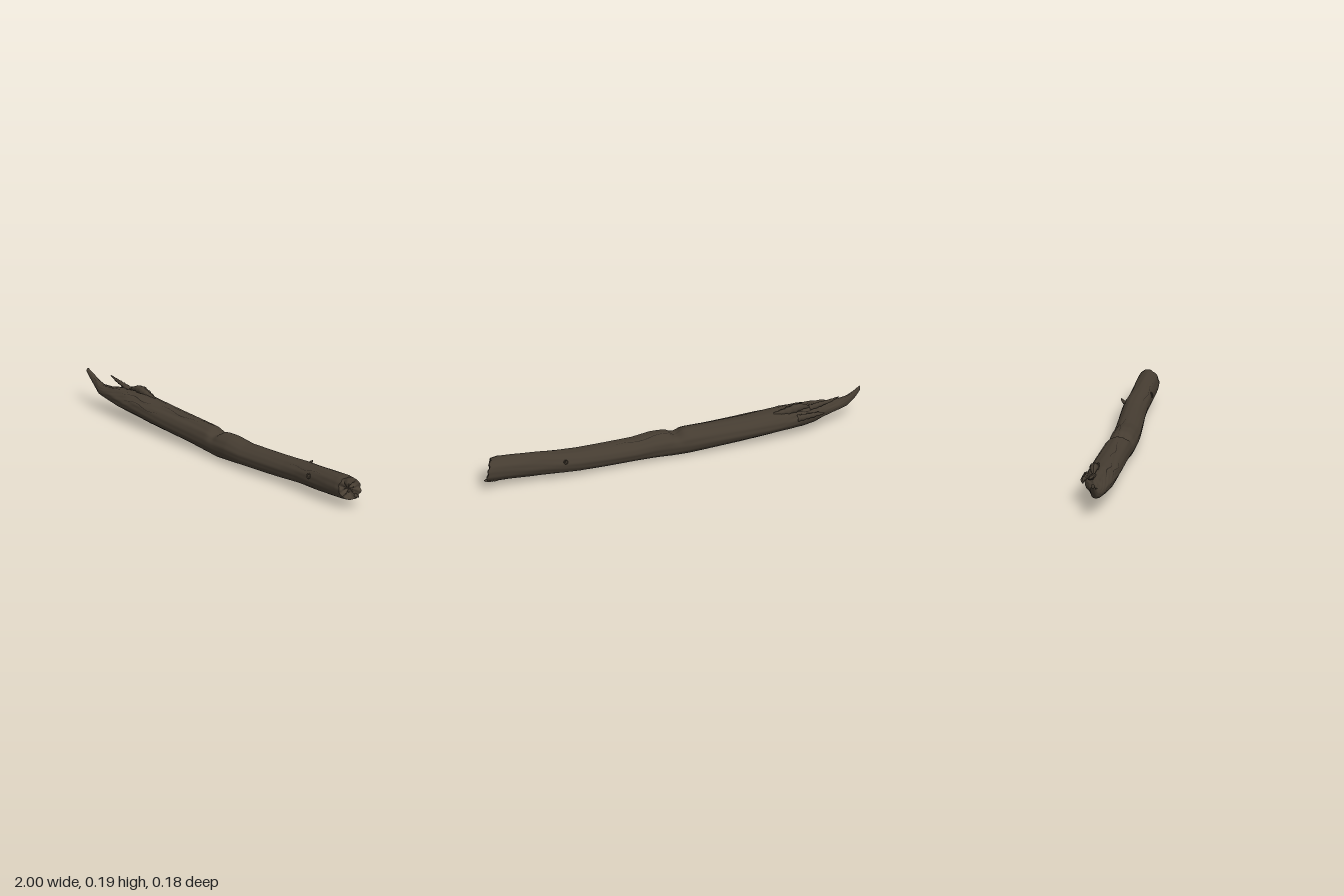
import * as THREE from 'three';

const wood = new THREE.MeshStandardMaterial({ color: 0x453c31 });
wood.name = 'weathered bark';
const endWood = new THREE.MeshStandardMaterial({ color: 0x4a4034 });
endWood.name = 'broken end grain';
const crack = new THREE.MeshStandardMaterial({ color: 0x29231d });
crack.name = 'dark crevice';

const lerp = THREE.MathUtils.lerp;
const bump = (x, c, w) => Math.exp(-(((x - c) / w) ** 2));

// Trunk outline: x, lowest y, highest y, rearmost z, foremost z
const outline = [
  [-1.0, 0.168, 0.19, -0.004, 0.014], [-0.97, 0.13, 0.172, -0.012, 0.015],
  [-0.93, 0.094, 0.15, -0.016, 0.02], [-0.89, 0.08, 0.138, -0.02, 0.038],
  [-0.84, 0.072, 0.138, -0.034, 0.046], [-0.79, 0.063, 0.148, -0.05, 0.054],
  [-0.74, 0.055, 0.152, -0.072, 0.062], [-0.68, 0.049, 0.156, -0.083, 0.068],
  [-0.6, 0.043, 0.158, -0.086, 0.07], [-0.5, 0.034, 0.152, -0.084, 0.071],
  [-0.35, 0.024, 0.145, -0.08, 0.071], [-0.2, 0.014, 0.142, -0.073, 0.071],
  [-0.08, 0.004, 0.142, -0.066, 0.074], [0.0, 0.0, 0.139, -0.056, 0.08],
  [0.1, 0.006, 0.14, -0.055, 0.086], [0.2, 0.011, 0.127, -0.054, 0.084],
  [0.35, 0.014, 0.13, -0.056, 0.076], [0.5, 0.02, 0.135, -0.059, 0.067],
  [0.6, 0.027, 0.143, -0.058, 0.066], [0.7, 0.031, 0.152, -0.046, 0.071],
  [0.85, 0.037, 0.163, -0.039, 0.077], [0.93, 0.04, 0.167, -0.036, 0.077],
  [0.965, 0.044, 0.163, -0.034, 0.074],
];

function section(x) {
  let i = 0;
  while (i < outline.length - 2 && outline[i + 1][0] < x) i++;
  const a = outline[i], b = outline[i + 1];
  const t = THREE.MathUtils.clamp((x - a[0]) / (b[0] - a[0]), 0, 1);
  return a.map((v, k) => lerp(v, b[k], t));
}

// Point on the trunk at length x and angle a (0 is up, a quarter turn is front)
function trunkPoint(x, a, scale = 1) {
  const [, y0, y1, z0, z1] = section(x);
  const up = Math.max(0, Math.cos(a));
  // long bark ridges
  let r = 1 - 0.012 * (1 + Math.sin(7 * a + 5 * x + Math.sin(9 * x)))
    - 0.012 * (1 + Math.sin(13 * a - 8 * x + 2 * Math.sin(4 * x)));
  // saddle notch on top
  r -= 0.4 * bump(x, -0.02, 0.028) * up * up;
  // torn upper side toward the splintered end
  const torn = THREE.MathUtils.smoothstep(-x, 0.45, 0.75) * (0.25 + up) * (1 - bump(x, -1, 0.06));
  r -= torn * 0.05 * (1 + Math.sin(11 * a + 23 * x) * Math.sin(47 * x + 3 * a));
  // shallow wandering split
  const splitAt = 0.75 + 0.25 * Math.sin(6 * x);
  r -= 0.07 * bump(a, splitAt, 0.09) * bump(x, -0.4, 0.3);
  r *= scale;
  const y = (y0 + y1) / 2 + (y1 - y0) / 2 * r * Math.cos(a);
  const z = (z0 + z1) / 2 + (z1 - z0) / 2 * r * Math.sin(a);
  // slanted, rough cut at the thick end
  const w = THREE.MathUtils.smoothstep(x, 0.88, 0.965);
  const shift = w * (-0.45 * (z - 0.02) - 0.16 * (y - 0.1) + 0.004 * Math.sin(9 * a));
  return [x + shift, y, z];
}

// Skin a grid of closed rings; flip turns the surface over
function skin(rings, material, name) {
  const n = rings[0].length, pos = rings.flat(2), index = [];
  for (let i = 0; i < rings.length - 1; i++) {
    for (let j = 0; j < n; j++) {
      const a = i * n + j, b = i * n + (j + 1) % n;
      index.push(a, b, a + n, b, b + n, a + n);
    }
  }
  const geo = new THREE.BufferGeometry();
  geo.setAttribute('position', new THREE.Float32BufferAttribute(pos, 3));
  geo.setIndex(index);
  geo.computeVertexNormals();
  const mesh = new THREE.Mesh(geo, material);
  mesh.name = name;
  return mesh;
}

const SIDES = 56;
const ring = (fn) => Array.from({ length: SIDES }, (_, j) => fn(j / SIDES * Math.PI * 2));

// Tapered splinter following a few points [x, y, z, radius]
function splinter(points, name, flat = 1) {
  const path = new THREE.CatmullRomCurve3(points.map((p) => new THREE.Vector3(p[0], p[1], p[2])));
  const steps = 16, sides = 8;
  const geo = new THREE.TubeGeometry(path, steps, 1, sides, false);
  const p = geo.attributes.position;
  for (let i = 0; i <= steps; i++) {
    const c = path.getPointAt(i / steps);
    const u = path.getUtoTmapping(i / steps) * (points.length - 1);
    const k = Math.min(Math.floor(u), points.length - 2);
    const r = lerp(points[k][3], points[k + 1][3], u - k) * (1 + 0.15 * Math.sin(i * 2.3));
    for (let j = 0; j <= sides; j++) {
      const v = i * (sides + 1) + j;
      p.setXYZ(v, c.x + (p.getX(v) - c.x) * r, c.y + (p.getY(v) - c.y) * r * flat, c.z + (p.getZ(v) - c.z) * r);
    }
  }
  geo.computeVertexNormals();
  const mesh = new THREE.Mesh(geo, wood);
  mesh.name = name;
  return mesh;
}

// Thin dark strip laid along the bark between two lengths
function crevice(x0, x1, angle, width, name) {
  const pos = [], index = [], steps = 24;
  for (let i = 0; i <= steps; i++) {
    const t = i / steps, x = lerp(x0, x1, t);
    const a = angle + 0.09 * Math.sin(t * 9 + x0 * 7);
    const h = width * Math.sin(Math.PI * t) + 0.002;
    pos.push(...trunkPoint(x, a - h, 1.012), ...trunkPoint(x, a + h, 1.012));
    if (i < steps) index.push(2 * i, 2 * i + 1, 2 * i + 2, 2 * i + 1, 2 * i + 3, 2 * i + 2);
  }
  const geo = new THREE.BufferGeometry();
  geo.setAttribute('position', new THREE.Float32BufferAttribute(pos, 3));
  geo.setIndex(index);
  geo.computeVertexNormals();
  const mesh = new THREE.Mesh(geo, crack);
  mesh.name = name;
  return mesh;
}

export function createModel() {
  const log = new THREE.Group();
  log.name = 'fallenLog';

  // Trunk
  const steps = 240, rings = [];
  for (let i = 0; i <= steps; i++) {
    const x = lerp(-1, 0.965, i / steps);
    rings.push(ring((a) => trunkPoint(x, a)));
  }
  log.add(skin(rings, wood, 'trunk'));

  // Rough end grain, slightly hollowed
  const grain = [0.002, 0.25, 0.5, 0.75, 0.92, 1].map((s) => ring((a) => {
    const [x, y, z] = trunkPoint(0.965, a, s);
    return [x - (1 - s) * 0.012 + (1 - s) * s * 0.03 * Math.sin(5 * a + 6 * s), y, z];
  })).reverse();
  log.add(skin(grain, endWood, 'endGrain'));

  // Closed tip of the long prong
  log.add(skin([0.002, 1].map((s) => ring((a) => trunkPoint(-1, a, s))), wood, 'prongTip'));

  // Splinters and torn bark at the broken end
  log.add(splinter([[-0.72, 0.14, -0.03, 0.016], [-0.79, 0.155, -0.033, 0.011],
    [-0.83, 0.163, -0.035, 0.008], [-0.875, 0.176, -0.036, 0.002]], 'upperSplinter'));
  log.add(splinter([[-0.64, 0.12, -0.072, 0.018], [-0.71, 0.125, -0.078, 0.013],
    [-0.76, 0.128, -0.08, 0.009], [-0.785, 0.12, -0.073, 0.002]], 'rearSplinter'));
  log.add(splinter([[-0.76, 0.1, 0.03, 0.022], [-0.83, 0.1, 0.03, 0.014],
    [-0.89, 0.11, 0.024, 0.003]], 'frontSplinter'));
  log.add(splinter([[-0.53, 0.144, -0.03, 0.006], [-0.6, 0.15, -0.036, 0.02],
    [-0.65, 0.161, -0.038, 0.022], [-0.69, 0.158, -0.034, 0.013], [-0.72, 0.145, -0.03, 0.003]], 'tornBarkRidge'));

  // Twig stub, knot and lip near the thick end
  log.add(splinter([[0.58, 0.1, -0.04, 0.014], [0.583, 0.112, -0.058, 0.009],
    [0.588, 0.122, -0.068, 0.004], [0.59, 0.126, -0.071, 0.001]], 'twigStub'));
  const knot = new THREE.Mesh(new THREE.TorusGeometry(0.011, 0.004, 8, 20), wood);
  knot.name = 'knot';
  const [kx, ky, kz] = trunkPoint(0.71, 1.25, 0.985);
  knot.position.set(kx, ky, kz);
  knot.rotation.x = -0.3;
  log.add(knot);
  log.add(splinter([[0.93, 0.062, -0.005, 0.014], [0.975, 0.062, -0.008, 0.012],
    [1.0, 0.062, -0.01, 0.003]], 'endLip'));

  // Crevices in the bark
  [[-0.72, -0.5, 0.55, 0.035], [-0.68, -0.42, 1.05, 0.025], [-0.45, -0.15, 0.3, 0.02],
    [-0.78, -0.6, -0.7, 0.04], [0.0, 0.3, -0.35, 0.025], [0.55, 0.8, 0.8, 0.015]]
    .forEach(([x0, x1, a, w], i) => log.add(crevice(x0, x1, a, w, 'crevice' + (i + 1))));
  return log;
}
